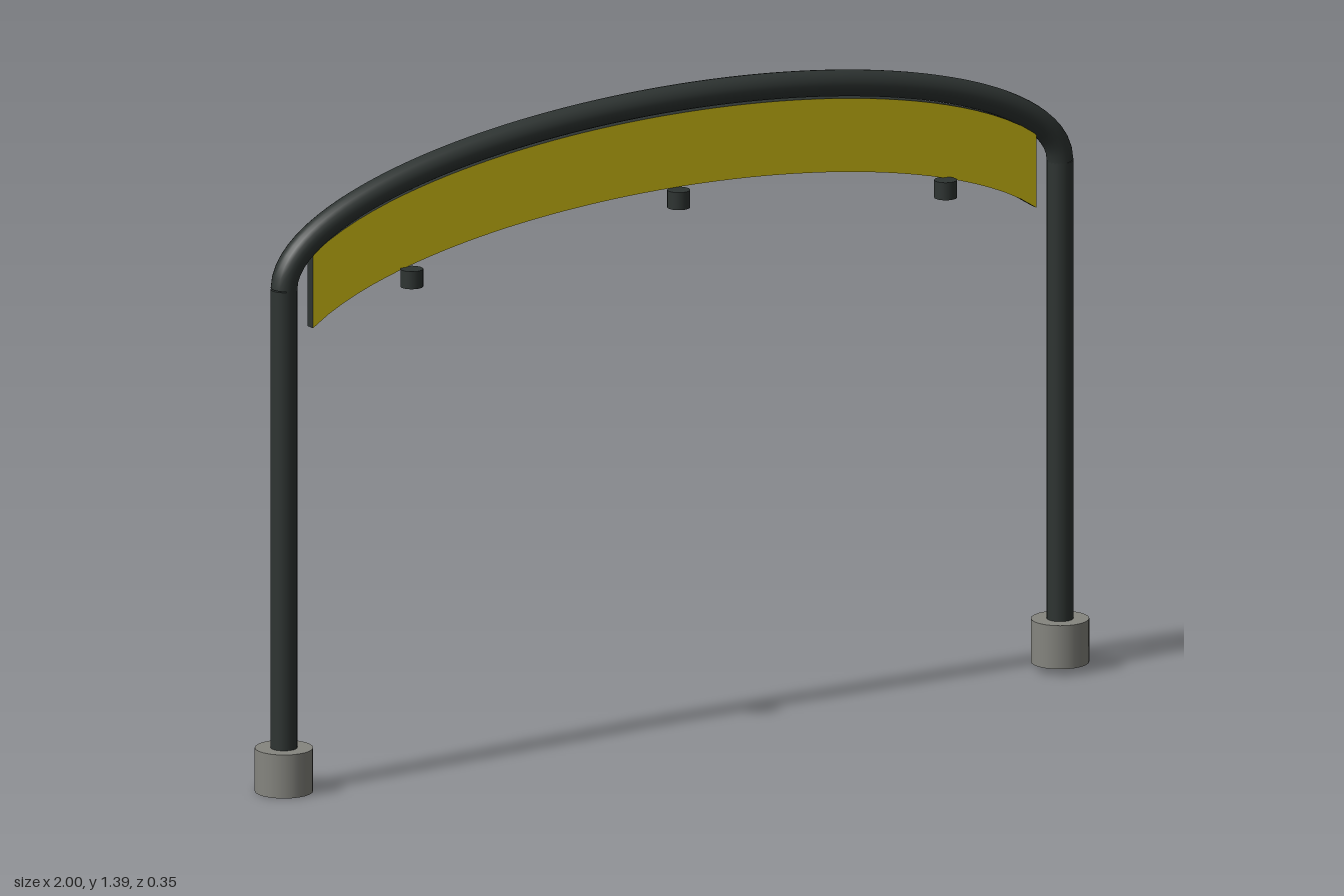
import * as THREE from 'three';

export function createModel() {
  const group = new THREE.Group();
  const dark = new THREE.MeshStandardMaterial({ color: 0x2e3432 });
  const grey = new THREE.MeshStandardMaterial({ color: 0x85857f });
  const yellow = new THREE.MeshStandardMaterial({ color: 0xdac615 });

  const HALF = 0.945, TUBE = 0.028, SPRING = 1.092, RISE = 0.273;
  const lean = (x) => 0.0078 * x; // the ground falls slightly to one side
  const archY = (x) => SPRING + RISE * Math.sqrt(Math.max(0, 1 - (x / HALF) ** 2)) + lean(x);

  const add = (name, geometry, material, x = 0, y = 0, z = 0) => {
    const mesh = new THREE.Mesh(geometry, material);
    mesh.name = name;
    mesh.position.set(x, y, z);
    group.add(mesh);
  };
  const cylinder = (name, radius, y0, y1, x, z, material) =>
    add(name, new THREE.CylinderGeometry(radius, radius, y1 - y0, 24), material, x, (y0 + y1) / 2, z);

  // Posts and footings
  for (const [side, s] of [['left', 1], ['right', -1]]) {
    const x = s * HALF, ground = 0.0075 + lean(x);
    cylinder(side + 'Footing', 0.061, ground, ground + 0.094, x, 0, grey);
    cylinder(side + 'Post', TUBE, ground + 0.05, SPRING + lean(x), x, 0, dark);
  }

  // Half-elliptical top tube
  const points = [];
  for (let i = 0; i <= 48; i++) {
    const a = Math.PI * (1 - i / 48), x = HALF * Math.cos(a);
    points.push(new THREE.Vector3(x, SPRING + RISE * Math.sin(a) + lean(x), 0));
  }
  add('archTube', new THREE.TubeGeometry(new THREE.CatmullRomCurve3(points), 96, TUBE, 20), dark);

  // Curved panel hanging under the arch, yellow faces with dark edges
  const END = 0.881, STEPS = 48, THICK = 0.022;
  const outline = [];
  for (let i = 0; i <= STEPS; i++) {
    const x = -END + (2 * END * i) / STEPS;
    outline.push(new THREE.Vector2(x, archY(x) - 0.19));
  }
  for (let i = STEPS; i >= 0; i--) {
    const x = -END + (2 * END * i) / STEPS;
    outline.push(new THREE.Vector2(x, archY(x) - 0.031));
  }
  const panel = new THREE.ExtrudeGeometry(new THREE.Shape(outline), { depth: THICK, bevelEnabled: false });
  add('panel', panel, [yellow, dark], 0, 0, -THICK / 2);

  // Small fittings beneath the panel
  for (const x of [-0.65, 0, 0.65]) {
    const top = archY(x) - 0.191;
    cylinder('fitting', 0.024, top - 0.038, top, x, 0.027, dark);
  }

  group.rotation.y = -0.122;
  const model = new THREE.Group();
  model.name = 'barrierArch';
  model.add(group);
  return model;
}
